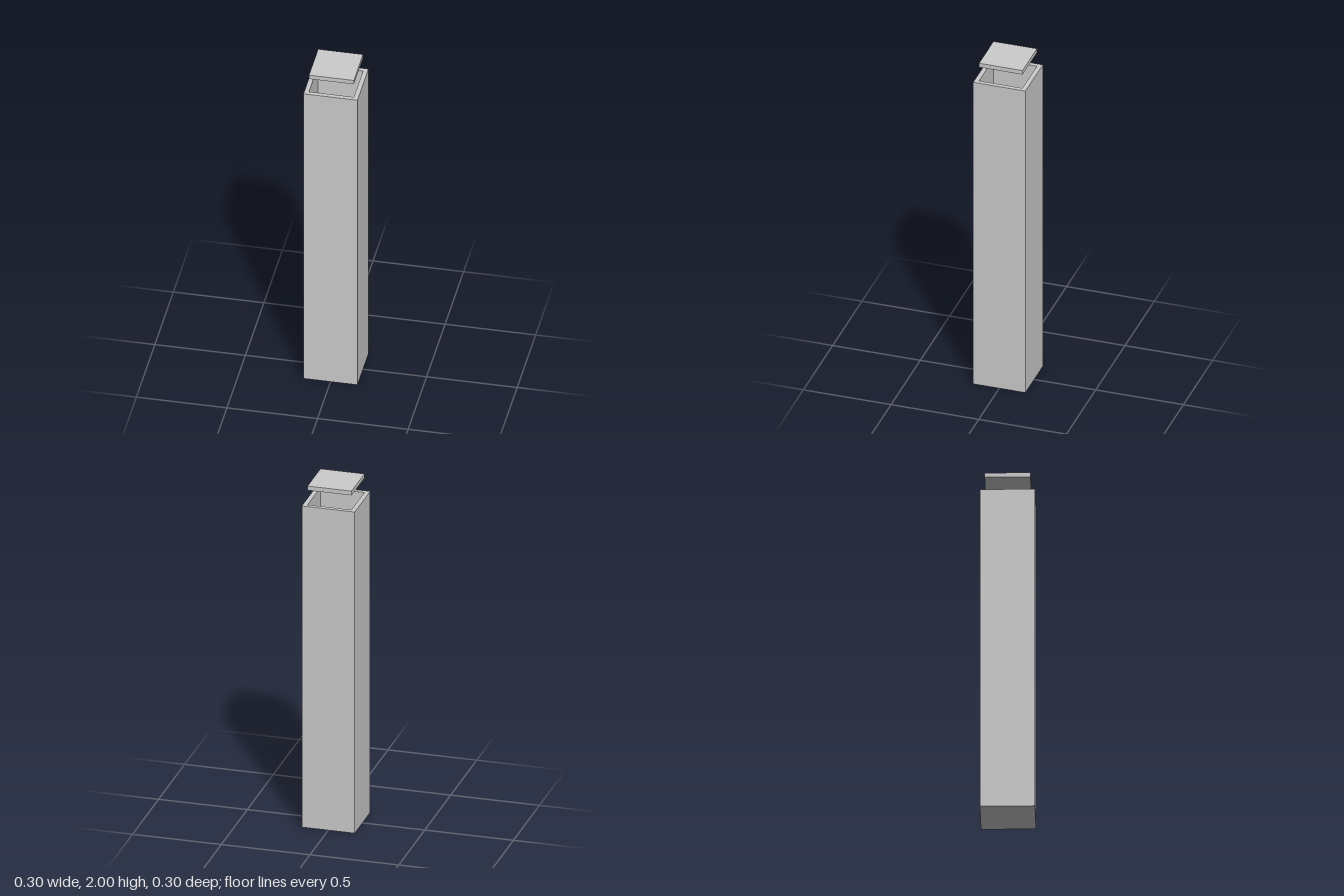
import * as THREE from 'three';

const HALF = 0.149;        // half width of the box
const WALL = 0.025;        // wall, floor and lid thickness
const HEIGHT = 1.89;       // height of the open box
const TOP = 2;             // top of the raised lid

export function createModel() {
  const model = new THREE.Group();
  model.name = 'boxWithLid';
  const material = new THREE.MeshStandardMaterial({ color: 0xcccccc, flatShading: true });

  // Hollow square box: a wall profile turned in four steps, corners on the diagonals
  const outer = HALF * Math.SQRT2;
  const inner = (HALF - WALL) * Math.SQRT2;
  const profile = [
    [0, 0], [outer, 0], [outer, HEIGHT], [inner, HEIGHT], [inner, WALL], [0, WALL],
  ].map(([r, y]) => new THREE.Vector2(r, y));
  const boxGeometry = new THREE.LatheGeometry(profile, 4, Math.PI / 4).toNonIndexed();
  boxGeometry.computeVertexNormals();
  const box = new THREE.Mesh(boxGeometry, material);
  box.name = 'openBox';
  model.add(box);

  // Lid lifted above the opening, sized to drop inside the walls
  const lidWidth = 2 * (HALF - WALL);
  const lid = new THREE.Mesh(new THREE.BoxGeometry(lidWidth, WALL, lidWidth), material);
  lid.name = 'lid';
  lid.position.y = TOP - WALL / 2;
  model.add(lid);

  return model;
}
